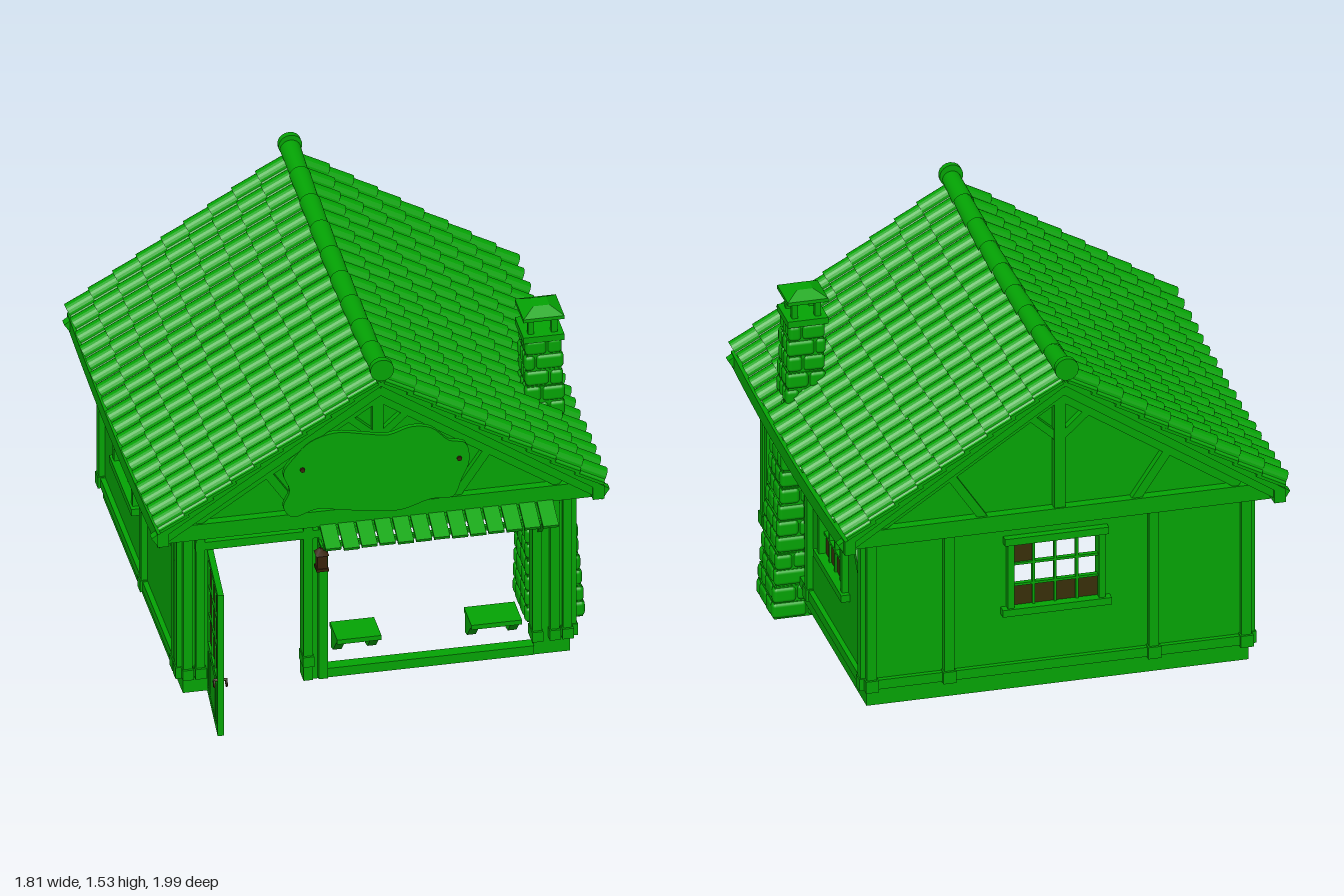
import * as THREE from 'three';
import { RoundedBoxGeometry } from 'three/addons/geometries/RoundedBoxGeometry.js';

export function createModel() {
  const model = new THREE.Group();
  model.name = 'cottage';
  const makeMat = (name, color) => {
    const m = new THREE.MeshStandardMaterial({ color, side: THREE.DoubleSide });
    m.name = name;
    return m;
  };
  const green = makeMat('green', 0x04a404);
  const brown = makeMat('dark olive brown', 0x382f09);
  const rust = makeMat('dark rusty brown', 0x38220a);

  let seed = 7;
  const rand = () => ((seed = (seed * 16807) % 2147483647) / 2147483647);

  const add = (name, geo, x = 0, y = 0, z = 0, parent = model, mat = green) => {
    const m = new THREE.Mesh(geo, mat);
    m.name = name;
    m.position.set(x, y, z);
    parent.add(m);
    return m;
  };
  // Box given by its extents
  const box = (name, x0, x1, y0, y1, z0, z1, parent = model, mat = green) =>
    add(name, new THREE.BoxGeometry(x1 - x0, y1 - y0, z1 - z0),
      (x0 + x1) / 2, (y0 + y1) / 2, (z0 + z1) / 2, parent, mat);
  // Sloping timber between two points in an upright plane
  const beam = (name, ax, ay, bx, by, z, h, d, parent = model) => {
    const m = add(name, new THREE.BoxGeometry(Math.hypot(bx - ax, by - ay), h, d),
      (ax + bx) / 2, (ay + by) / 2, z, parent);
    m.rotation.z = Math.atan2(by - ay, bx - ax);
  };
  const points = pts => pts.map(p => new THREE.Vector2(...p));
  const outline = pts => new THREE.Shape(points(pts));
  const rectHole = (x0, x1, y0, y1) => new THREE.Path(points([[x0, y0], [x1, y0], [x1, y1], [x0, y1]]));
  const slab = (shape, depth) => new THREE.ExtrudeGeometry(shape, { depth, bevelEnabled: false });

  // Roof line and its sag along the ridge
  const PEAK = 1.397, SLOPE = 0.672, A = Math.atan(SLOPE), ZC = -0.12;
  const sag = z => 0.036 * ((z - ZC) / 0.87) ** 2;
  const gableTop = [[0.765, 0.06], [0.765, 0.85], [0, 1.365], [-0.765, 0.85]];

  // Walls, with the doorway cut through to the ground
  const frontShape = outline([[-0.765, 0.06], [-0.66, 0.06], [-0.66, 0.72], [-0.29, 0.72], [-0.29, 0.06], ...gableTop]);
  frontShape.holes.push(rectHole(-0.2, 0.62, 0.1, 0.72));
  add('frontWall', slab(frontShape, 0.03), 0, 0, 0.61);
  const backShape = outline([[-0.765, 0.06], ...gableTop]);
  backShape.holes.push(rectHole(-0.165, 0.185, 0.415, 0.695));
  add('backWall', slab(backShape, 0.03), 0, 0, -0.85);
  const windowZ = { '1': -0.395, '-1': -0.365 };
  for (const s of [-1, 1]) {
    const side = outline([[-0.64, 0.06], [0.85, 0.06], [0.85, 0.82], [-0.64, 0.82]]);
    side.holes.push(rectHole(-windowZ[s] - 0.165, -windowZ[s] + 0.165, 0.42, 0.695));
    add('sideWall', slab(side, 0.03).rotateY(Math.PI / 2), s > 0 ? 0.735 : -0.765);
  }

  // Windows, facing +z before turning; the bottom row and some top panes are glazed
  const addWindow = (x, y, z, turn, w, c0, c1) => {
    const g = new THREE.Group();
    g.name = 'window';
    const h = 0.137;
    for (const s of [-1, 1]) box('windowJamb', s * (w + 0.01) - 0.013, s * (w + 0.01) + 0.013, -h, h, -0.035, 0.025, g);
    box('windowHeader', -w - 0.035, w + 0.035, h, h + 0.03, -0.035, 0.03, g);
    box('windowSill', -w - 0.045, w + 0.045, -h - 0.03, -h, -0.04, 0.035, g);
    for (let i = 1; i < 4; i++) box('muntin', -w + i * w / 2 - 0.005, -w + i * w / 2 + 0.005, -h, h, -0.015, 0.005, g);
    for (let i = 1; i < 3; i++) box('muntin', -w, w, -h + i * 0.09 - 0.005, -h + i * 0.09 + 0.005, -0.015, 0.005, g);
    box('glass', -w, w, -h, -h + 0.09, -0.008, -0.004, g, brown);
    box('glass', -w + c0 * w / 2, -w + c1 * w / 2, h - 0.09, h, -0.008, -0.004, g, brown);
    g.position.set(x, y, z);
    g.rotation.y = turn;
    model.add(g);
  };
  addWindow(0.765, 0.557, windowZ[1], Math.PI / 2, 0.163, 2, 4);
  addWindow(-0.765, 0.557, windowZ[-1], -Math.PI / 2, 0.163, 0, 1);
  addWindow(0.01, 0.555, -0.85, Math.PI, 0.173, 0, 1);

  // Side framing
  for (const s of [-1, 1]) {
    const face = (name, z0, z1, y0, y1, d = 0.02) =>
      box(name, Math.min(s * 0.76, s * (0.765 + d)), Math.max(s * 0.76, s * (0.765 + d)), y0, y1, z0, z1);
    face('lowerRail', -0.85, 0.64, 0.135, 0.175);
    face('topPlate', -0.85, 0.64, 0.74, 0.8, 0.025);
    for (const z of [-0.83, -0.04, 0.56, 0.62]) {
      face('sidePost', z - 0.02, z + 0.02, 0.14, 0.76, 0.025);
      face('postFoot', z - 0.025, z + 0.025, 0.13, 0.18, 0.03);
    }
    for (const [za, zb] of [[0.57, 0.45], [-0.81, -0.69]]) {
      const b = new THREE.Group();
      b.name = 'sideBrace';
      b.rotation.y = Math.PI / 2;
      b.position.x = s * 0.775;
      beam('brace', -za, 0.62, -zb, 0.76, 0, 0.03, 0.025, b);
      model.add(b);
    }
    box('innerRail', Math.min(s * 0.715, s * 0.74), Math.max(s * 0.715, s * 0.74), 0.255, 0.285, -0.82, 0.61);
  }
  // Back framing, inside and out
  box('innerBackRail', -0.73, 0.73, 0.255, 0.285, -0.825, -0.8);
  for (const x of [-0.45, 0.45]) box('innerBackPost', x - 0.02, x + 0.02, 0.28, 0.76, -0.825, -0.8);
  box('backLowerRail', -0.765, 0.765, 0.135, 0.175, -0.87, -0.84);
  for (const x of [-0.75, -0.38, 0.44, 0.75]) {
    box('backPost', x - 0.02, x + 0.02, 0.14, 0.78, -0.875, -0.84);
    box('backPostFoot', x - 0.026, x + 0.026, 0.13, 0.18, -0.885, -0.84);
  }

  // Gable timbers at both ends
  for (const [zw, zo] of [[0.65, 0.7], [-0.865, -0.93]]) {
    box('tieBeam', -0.86, 0.86, 0.765, 0.835, zw - 0.025, zw + 0.025);
    box('kingPost', -0.022, 0.022, 0.82, 1.34, zw - 0.018, zw + 0.018);
    for (const s of [-1, 1]) {
      beam('gableRafter', s * 0.72, 0.84, 0, 1.32, zw, 0.04, 0.035);
      beam('bargeBoard', s * 0.89, 0.765 + sag(zo), 0, 1.355 + sag(zo), zo, 0.055, 0.035);
      beam('gableBrace', s * 0.3, 0.82, s * 0.44, 1.03, zw, 0.035, 0.03);
      beam('kingBrace', s * 0.01, 1.14, s * 0.13, 1.25, zw, 0.03, 0.03);
    }
  }

  // Front framing: posts, header and sill
  for (const x of [-0.75, -0.7, -0.275, -0.215, 0.63, 0.7, 0.75]) {
    box('frontPost', x - 0.018, x + 0.018, x > -0.3 && x < -0.2 ? 0.07 : 0.14, 0.77, 0.6, 0.665);
    if (x !== -0.215) box('frontPostFoot', x - 0.022, x + 0.022, 0.135, 0.18, 0.6, 0.675);
  }
  box('frontHeader', -0.72, 0.72, 0.71, 0.745, 0.6, 0.665);
  box('counterSill', -0.2, 0.62, 0.065, 0.105, 0.6, 0.65);

  // Small shelves on brackets in the serving opening
  for (const [x0, x1] of [[-0.17, 0.005], [0.36, 0.56]]) {
    box('shelf', x0, x1, 0.245, 0.265, 0.57, 0.71);
    for (const x of [x0 + 0.017, x1 - 0.022]) {
      const bracket = slab(outline([[-0.7, 0.25], [-0.59, 0.25], [-0.59, 0.165], [-0.63, 0.175]]), 0.034);
      add('shelfBracket', bracket.rotateY(Math.PI / 2), x - 0.017);
    }
  }

  // Plank awning
  for (let i = 0; i < 13; i++) {
    const p = add('awningPlank', new THREE.BoxGeometry(0.062, 0.014, 0.15 + rand() * 0.015),
      -0.2 + i * 0.0715, 0.75, 0.712);
    p.rotation.x = 0.38;
  }
  box('awningRail', -0.22, 0.67, 0.715, 0.733, 0.735, 0.755);
  for (const x of [-0.215, 0.64]) {
    const b = add('awningBracket', new THREE.BoxGeometry(0.02, 0.13, 0.02), x, 0.68, 0.7);
    b.rotation.x = 0.75;
  }

  // Lantern
  box('lanternArm', -0.235, -0.225, 0.69, 0.7, 0.65, 0.71);
  box('lanternBody', -0.25, -0.21, 0.6, 0.66, 0.68, 0.72, model, rust);
  add('lanternRoof', new THREE.CylinderGeometry(0.01, 0.036, 0.025, 4).rotateY(Math.PI / 4), -0.23, 0.672, 0.7, model, rust);
  box('lanternBase', -0.254, -0.206, 0.59, 0.602, 0.676, 0.724, model, rust);

  // Open door, hinged at the left of the doorway
  const door = new THREE.Group();
  door.name = 'door';
  door.position.set(-0.66, 0, 0.65);
  door.rotation.y = -(Math.PI / 2 + 0.09);
  model.add(door);
  for (const x of [0, 0.32]) box('doorStile', x, x + 0.03, 0.07, 0.705, -0.012, 0.012, door);
  for (const [y, h] of [[0.07, 0.03], [0.27, 0.035], [0.68, 0.025]]) box('doorRail', 0.03, 0.32, y, y + h, -0.012, 0.012, door);
  box('doorPanel', 0.03, 0.32, 0.1, 0.27, -0.002, 0.002, door);
  for (let i = 0; i < 6; i++) box('doorSlat', 0.037 + i * 0.048, 0.071 + i * 0.048, 0.1, 0.27, -0.011, 0.011, door);
  box('doorGlass', 0.03, 0.32, 0.305, 0.68, -0.003, 0.003, door, brown);
  for (const i of [1, 2]) {
    box('doorMuntin', 0.025 + i * 0.097, 0.035 + i * 0.097, 0.305, 0.68, -0.009, 0.009, door);
    box('doorMuntin', 0.03, 0.32, 0.3 + i * 0.125, 0.31 + i * 0.125, -0.009, 0.009, door);
  }
  // Ring handles on short pins
  for (const s of [-1, 1]) add('doorRing', new THREE.TorusGeometry(0.014, 0.004, 6, 14), 0.335, 0.3, s * 0.024, door, rust);
  add('doorPin', new THREE.CylinderGeometry(0.006, 0.006, 0.056, 8).rotateX(Math.PI / 2), 0.335, 0.314, 0, door, rust);

  // Hanging board with a wavy edge and two nails
  const edge = [[-.385, 1.05], [-.34, 1.12], [-.28, 1.18], [-.18, 1.21], [-.06, 1.19], [.03, 1.175], [.12, 1.2], [.2, 1.185],
    [.27, 1.12], [.335, 1.1], [.35, 1.02], [.32, .94], [.285, .865], [.2, .865], [.08, .83], [-.04, .84], [-.16, .86],
    [-.25, .875], [-.35, .85], [-.385, .9], [-.36, .97]].map(p => new THREE.Vector3(p[0], p[1], 0));
  const rim = new THREE.CatmullRomCurve3(edge, true).getPoints(84).slice(0, -1);
  add('hangingBoard', slab(outline(rim.map(p => [p.x, p.y])), 0.02), 0, 0, 0.7);
  for (const [x, y] of [[-0.31, 1.06], [0.31, 1.035]])
    add('boardNail', new THREE.CylinderGeometry(0.01, 0.01, 0.008, 8).rotateX(Math.PI / 2), x, y, 0.724, model, rust);

  // Sagging lengths running along z
  const sagBox = (name, w, h, x, y, turn) => {
    const g = new THREE.BoxGeometry(w, h, 1.69, 1, 1, 16).rotateZ(turn).translate(x, y, ZC);
    const p = g.attributes.position;
    for (let i = 0; i < p.count; i++) p.setY(i, p.getY(i) + sag(p.getZ(i)));
    g.computeVertexNormals();
    add(name, g);
  };
  // Roof tile: a round crest with half a shallow trough on each side
  const COLS = 18, ROWS = 9, PITCH = 0.0952, len = 0.875 / Math.cos(A), R = 0.033;
  const top = [[-PITCH / 2, 0.008], [-0.039, 0.01]];
  for (let i = 0; i <= 10; i++) {
    const a = Math.PI * (1 - i / 10);
    top.push([R * Math.cos(a), 0.016 + R * Math.sin(a)]);
  }
  top.push([0.039, 0.01], [PITCH / 2, 0.008]);
  const tileGeo = slab(outline([...top, ...top.map(([x, y]) => [x * 0.999, y - 0.012]).reverse()]), 0.13);
  for (const s of [-1, 1]) {
    sagBox('roofDeck', len, 0.025, s * 0.4375, PEAK - 0.4375 * SLOPE - 0.015, -s * A);
    sagBox('eaveBeam', 0.045, 0.06, s * 0.86, 0.778, 0);
    const tilt = A - 0.1;
    const d = new THREE.Vector3(s * Math.cos(tilt), -Math.sin(tilt), 0);
    const n = new THREE.Vector3(s * Math.sin(tilt), Math.cos(tilt), 0);
    const basis = new THREE.Matrix4().makeBasis(new THREE.Vector3().crossVectors(n, d), n, d);
    for (let c = 0; c < COLS; c++) for (let r = 0; r < ROWS; r++) {
      const z = ZC + (c - (COLS - 1) / 2) * PITCH;
      const t = 0.012 + r * (len - 0.15) / (ROWS - 1) + (rand() - 0.5) * 0.008;
      const tile = add('roofTile', tileGeo, s * t * Math.cos(A), PEAK - t * Math.sin(A) + sag(z), z);
      tile.quaternion.setFromRotationMatrix(basis);
    }
  }
  // Ridge tiles and round end caps
  const ridgeGeo = new THREE.CylinderGeometry(0.042, 0.037, 0.2, 14, 1, true, -Math.PI / 2, Math.PI).rotateX(-Math.PI / 2);
  for (let i = 0; i < 9; i++) {
    const z = ZC + (i - 4) * 0.19;
    const m = add('ridgeTile', ridgeGeo, 0, 1.435 + sag(z), z);
    m.rotation.x = -Math.atan(0.072 * (z - ZC) / 0.757);
  }
  for (const z of [0.735, -0.978])
    add('ridgeCap', new THREE.CylinderGeometry(0.047, 0.047, 0.025, 18).rotateX(Math.PI / 2), 0, 1.485, z);

  // Stone chimney: tapering courses of rounded stones around a core
  const lerp = THREE.MathUtils.lerp;
  const stone = (x0, x1, y, h, z0, z1) =>
    add('chimneyStone', new RoundedBoxGeometry(x1 - x0 - 0.003, h - 0.003, z1 - z0 - 0.003, 3, 0.016),
      (x0 + x1) / 2, y + (rand() - 0.5) * 0.006, (z0 + z1) / 2);
  const courses = 18, ch = 1.24 / courses;
  for (let i = 0; i < courses; i++) {
    const y = (i + 0.5) * ch, low = y < 0.75, k = low ? y / 0.75 : (y - 0.75) / 0.49;
    const cx = low ? lerp(0.778, 0.755, k) : lerp(0.752, 0.742, k);
    const hx = (low ? lerp(0.119, 0.088, k) : lerp(0.083, 0.072, k)) + rand() * 0.005;
    const hz = (low ? lerp(0.126, 0.095, k) : lerp(0.088, 0.075, k)) + rand() * 0.005;
    const cz = 0.185, t = 0.045;
    box('chimneyCore', cx - hx + 0.01, cx + hx - 0.01, y - ch / 2, y + ch / 2, cz - hz + 0.01, cz + hz - 0.01);
    for (const s of [-1, 1]) {
      const split = cx + (i % 2 ? 0.25 : -0.25) * hx + (rand() - 0.5) * 0.03;
      const z0 = s > 0 ? cz + hz - t : cz - hz, z1 = z0 + t;
      stone(cx - hx, split, y, ch, z0, z1);
      stone(split, cx + hx, y, ch, z0, z1);
      const x0 = s > 0 ? cx + hx - t : cx - hx, zs = cz + (rand() - 0.5) * 0.04;
      stone(x0, x0 + t, y, ch, cz - hz + t, zs);
      stone(x0, x0 + t, y, ch, zs, cz + hz - t);
    }
  }
  box('chimneyCollar', 0.66, 0.822, 1.235, 1.262, 0.104, 0.266);
  for (const x of [0.695, 0.787]) for (const z of [0.139, 0.231]) box('capPost', x - 0.012, x + 0.012, 1.26, 1.335, z - 0.012, z + 0.012);
  box('capSlab', 0.66, 0.822, 1.33, 1.345, 0.104, 0.266);
  add('chimneyCap', new THREE.CylinderGeometry(0.045, 0.114, 0.027, 4).rotateY(Math.PI / 4).toNonIndexed(), 0.741, 1.358, 0.185)
    .geometry.computeVertexNormals();

  return model;
}
